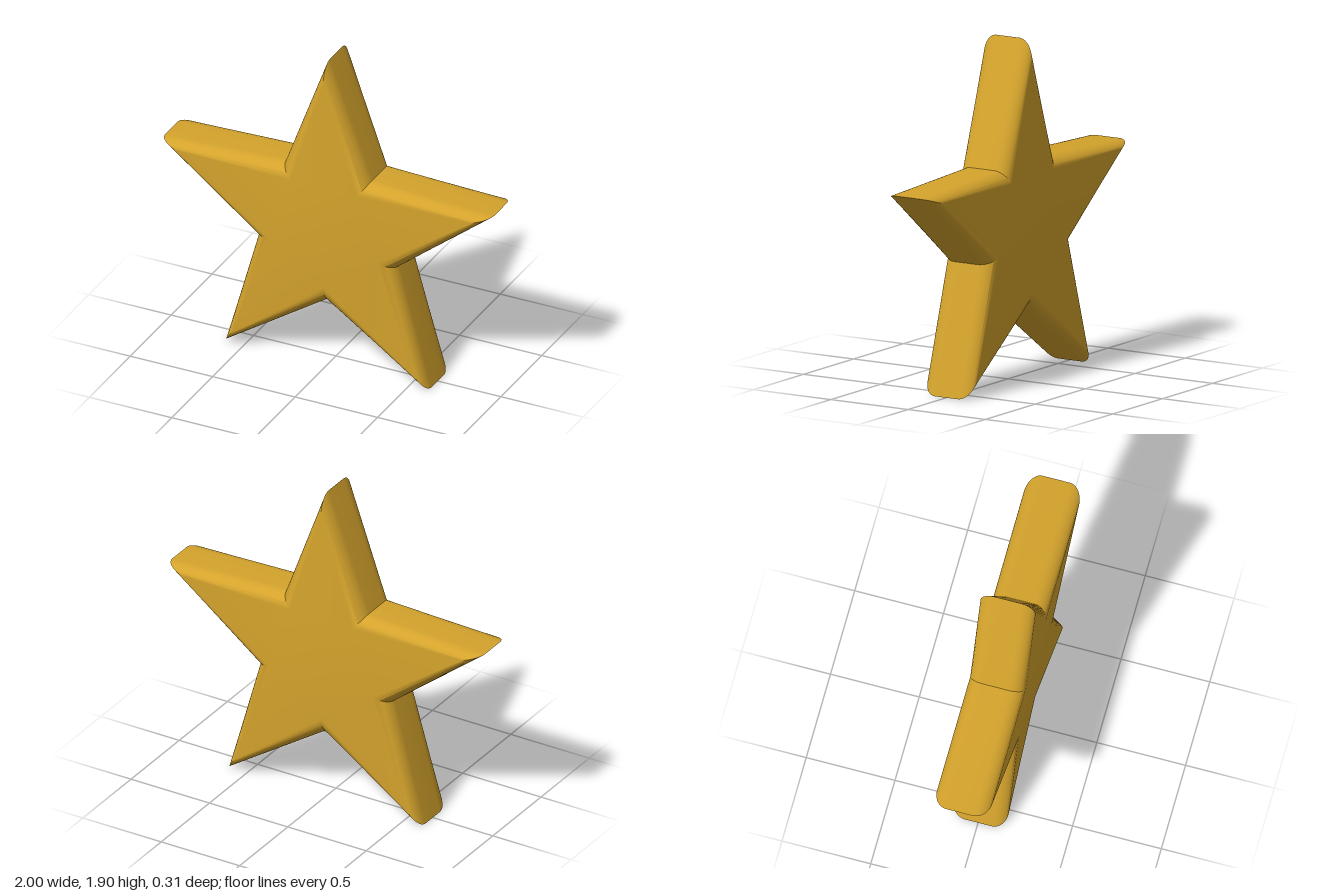
import * as THREE from 'three';
import { toCreasedNormals } from 'three/addons/utils/BufferGeometryUtils.js';

const OUTER = 1.05, INNER = 0.442, CENTRE_Y = 0.85;
const DEPTH = 0.31, BEVEL = 0.08;

// Five-pointed outline with one tip straight up
function starShape() {
  const points = [];
  for (let i = 0; i < 10; i++) {
    const radius = i % 2 ? INNER : OUTER;
    const angle = Math.PI / 2 + (i * Math.PI) / 5;
    points.push(new THREE.Vector2(radius * Math.cos(angle), radius * Math.sin(angle)));
  }
  return new THREE.Shape(points);
}

export function createModel() {
  const group = new THREE.Group();
  group.name = 'star';

  // Thick body; the rounded bevel is cut inward from the outline
  const geometry = new THREE.ExtrudeGeometry(starShape(), {
    depth: DEPTH - 2 * BEVEL,
    bevelEnabled: true,
    bevelThickness: BEVEL,
    bevelSize: BEVEL,
    bevelOffset: -BEVEL,
    bevelSegments: 10,
    steps: 1,
  });
  geometry.translate(0, CENTRE_Y, BEVEL - DEPTH / 2);

  const body = new THREE.Mesh(
    toCreasedNormals(geometry, Math.PI / 6),
    new THREE.MeshStandardMaterial({ color: 0xd4a32c })
  );
  body.name = 'starBody';
  group.add(body);
  return group;
}
